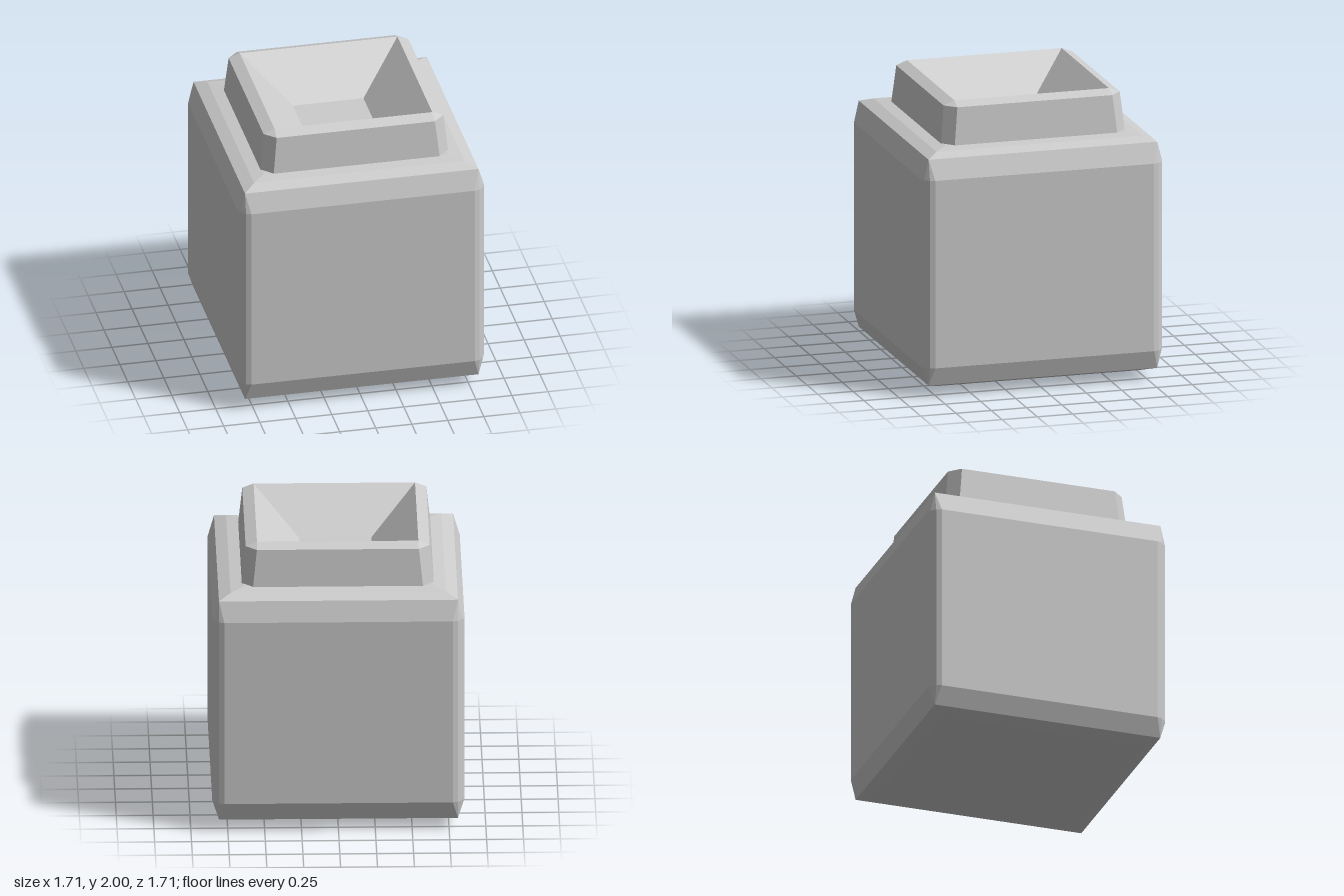
import * as THREE from 'three';

// Square ring of half width w; each corner is cut by c along a list of
// [inset, setback] fractions. Runs counter-clockwise seen from above.
function ring([y, w, c], corner) {
  const points = [];
  for (let k = 0; k < 4; k++) {
    for (const [inset, setback] of corner) {
      let x = w - inset * c, z = -(w - setback * c);
      for (let i = 0; i < k; i++) [x, z] = [z, -x];
      points.push(new THREE.Vector3(x, y, z));
    }
  }
  return points;
}

// Skin a stack of rings and close both ends, leaving out empty triangles
function loft(name, sections, corner, material) {
  const rings = sections.map((s) => ring(s, corner));
  const n = rings[0].length;
  const positions = [];
  const tri = (a, b, c) => {
    if (new THREE.Triangle(a, b, c).getArea() < 1e-7) return;
    for (const p of [a, b, c]) positions.push(p.x, p.y, p.z);
  };
  for (let r = 0; r + 1 < rings.length; r++) {
    for (let i = 0; i < n; i++) {
      const j = (i + 1) % n;
      tri(rings[r][i], rings[r][j], rings[r + 1][j]);
      tri(rings[r][i], rings[r + 1][j], rings[r + 1][i]);
    }
  }
  const first = rings[0], last = rings[rings.length - 1];
  for (let i = 1; i + 1 < n; i++) {
    tri(first[0], first[i + 1], first[i]);
    tri(last[0], last[i], last[i + 1]);
  }
  const geometry = new THREE.BufferGeometry();
  geometry.setAttribute('position', new THREE.Float32BufferAttribute(positions, 3));
  geometry.computeVertexNormals();
  const mesh = new THREE.Mesh(geometry, material);
  mesh.name = name;
  return mesh;
}

export function createModel() {
  const model = new THREE.Group();
  model.name = 'squareJar';
  const material = new THREE.MeshStandardMaterial({ color: 0xcccccc, flatShading: true });

  const roundedCorner = [[0, 1], [0.16, 0.56], [0.56, 0.16], [1, 0]];
  const chamferCorner = [[0, 1], [1, 0]];

  // Body: domed underside, bevelled bands, straight walls, sloping shoulder
  model.add(loft('body', [
    [0, 0.37, 0],
    [0.03, 0.6, 0],
    [0.05, 0.71, 0],
    [0.085, 0.81, 0],
    [0.215, 0.855, 0.08],
    [1.53, 0.855, 0.08],
    [1.67, 0.81, 0],
    [1.7, 0.73, 0],
    [1.713, 0.64, 0],
  ], roundedCorner, material));

  // Neck: tapered collar, sloping rim and funnel-shaped recess with a flat floor
  model.add(loft('neck', [
    [1.7, 0.652, 0.075],
    [1.97, 0.624, 0.075],
    [2, 0.547, 0],
    [1.72, 0.245, 0],
  ], chamferCorner, material));

  return model;
}
